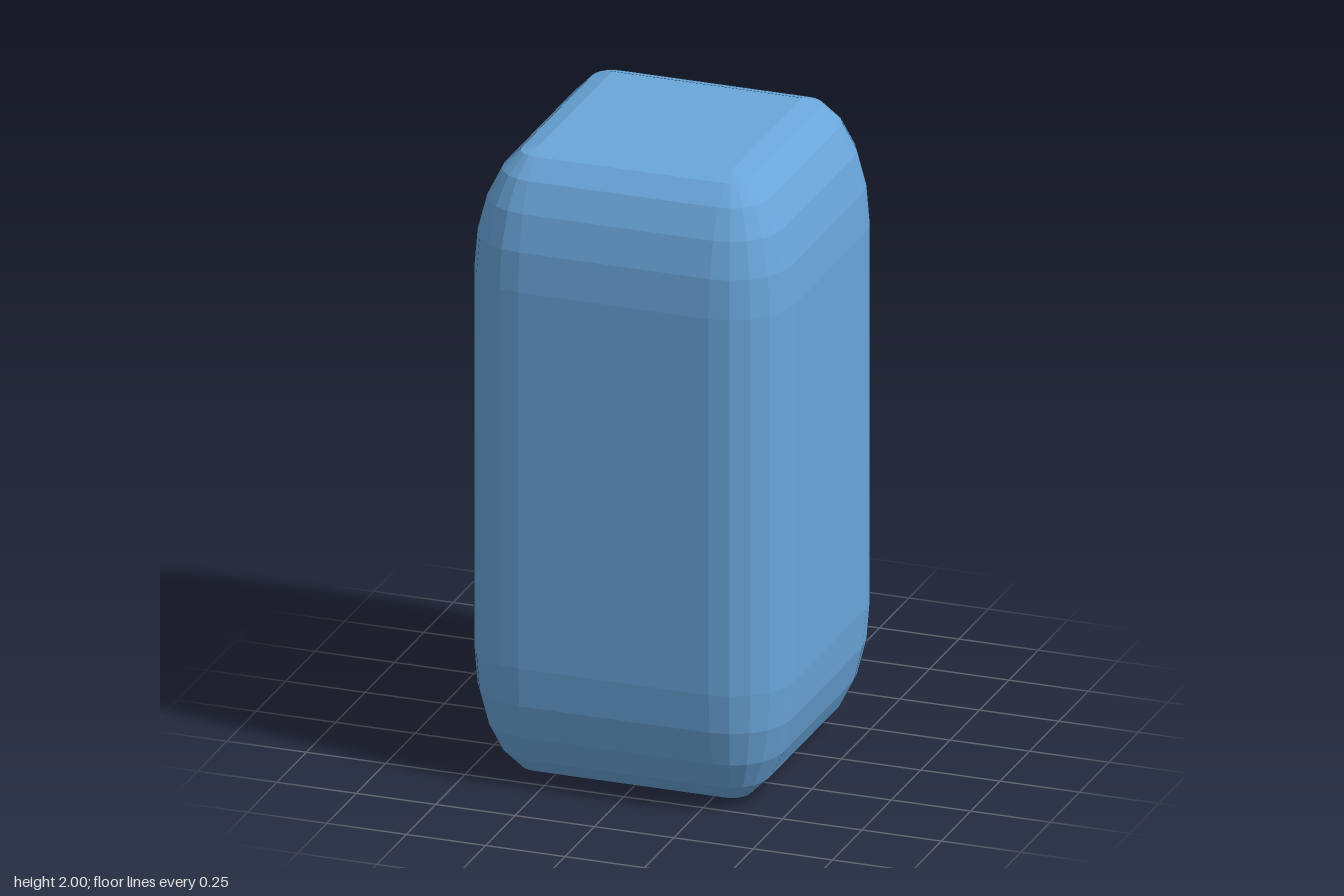
import * as THREE from 'three';

const blue = new THREE.MeshStandardMaterial({ color: 0x6aa6da, flatShading: true });
const grey = new THREE.MeshStandardMaterial({ color: 0xcccccc });

// Box with rounded edges, built from stacked rounded-rectangle rings
function roundedBox(half, radius, segments) {
  const core = half.clone().sub(radius);
  const positions = [];
  const index = [];
  const step = Math.PI / 2 / segments;
  const perRing = 4 * (segments + 1);
  const rings = 2 * (segments + 1);

  for (let r = 0; r < rings; r++) {
    const upper = r > segments;
    const lat = -Math.PI / 2 + step * (upper ? r - 1 : r);
    const y = (upper ? core.y : -core.y) + radius.y * Math.sin(lat);
    for (let corner = 0; corner < 4; corner++) {
      const sx = corner === 0 || corner === 3 ? 1 : -1;
      const sz = corner < 2 ? 1 : -1;
      for (let s = 0; s <= segments; s++) {
        const a = corner * Math.PI / 2 + s * step;
        positions.push(
          sx * core.x + radius.x * Math.cos(lat) * Math.cos(a),
          y,
          sz * core.z + radius.z * Math.cos(lat) * Math.sin(a));
      }
    }
  }
  for (let r = 0; r < rings - 1; r++) {
    for (let i = 0; i < perRing; i++) {
      const a = r * perRing + i;
      const b = r * perRing + (i + 1) % perRing;
      index.push(a, a + perRing, b, b, a + perRing, b + perRing);
    }
  }
  // flat bottom and top
  const top = (rings - 1) * perRing;
  for (let i = 1; i < perRing - 1; i++) {
    index.push(0, i, i + 1, top, top + i + 1, top + i);
  }
  const geometry = new THREE.BufferGeometry();
  geometry.setAttribute('position', new THREE.Float32BufferAttribute(positions, 3));
  geometry.setIndex(index);
  geometry.computeVertexNormals();
  return geometry;
}

function add(parent, name, geometry, material, x, y, z) {
  const mesh = new THREE.Mesh(geometry, material);
  mesh.name = name;
  mesh.position.set(x, y, z);
  parent.add(mesh);
  return mesh;
}

// Disc facing backwards, between two z positions
function disc(parent, name, radius, y, z0, z1) {
  const geometry = new THREE.CylinderGeometry(radius, radius, Math.abs(z1 - z0), 32);
  geometry.rotateX(Math.PI / 2);
  return add(parent, name, geometry, grey, 0, y, (z0 + z1) / 2);
}

export function createModel() {
  const model = new THREE.Group();
  model.name = 'waterTank';

  // Tank body, its edge rounding stretched vertically
  const body = roundedBox(new THREE.Vector3(0.5, 1, 0.5), new THREE.Vector3(0.2, 0.4, 0.2), 5);
  add(model, 'tank', body, blue, 0, 1, 0.09);

  // Tap low on the back
  const tap = new THREE.Group();
  tap.name = 'tap';
  model.add(tap);
  disc(tap, 'flange', 0.1, 0.275, -0.36, -0.45);
  disc(tap, 'collar', 0.048, 0.252, -0.44, -0.465);

  // Spout: straight pipe, then a bend downwards
  const path = new THREE.CurvePath();
  const start = new THREE.Vector3(0, 0.243, -0.45);
  const bend = new THREE.Vector3(0, 0.243, -0.515);
  const end = new THREE.Vector3(0, 0.188, -0.565);
  path.add(new THREE.LineCurve3(start, bend));
  path.add(new THREE.CubicBezierCurve3(bend,
    new THREE.Vector3(0, 0.243, -0.545), new THREE.Vector3(0, 0.22, -0.565), end));
  add(tap, 'spout', new THREE.TubeGeometry(path, 20, 0.026, 16), grey, 0, 0, 0);
  const mouth = new THREE.CircleGeometry(0.026, 16).rotateX(Math.PI / 2);
  add(tap, 'spoutMouth', mouth, grey, 0, end.y, end.z);

  // Handle: stem with a lever on top
  add(tap, 'stem', new THREE.CylinderGeometry(0.015, 0.015, 0.1, 16), grey, 0, 0.3, -0.49);
  add(tap, 'lever', new THREE.BoxGeometry(0.03, 0.02, 0.097), grey, 0, 0.35, -0.5225);

  return model;
}
